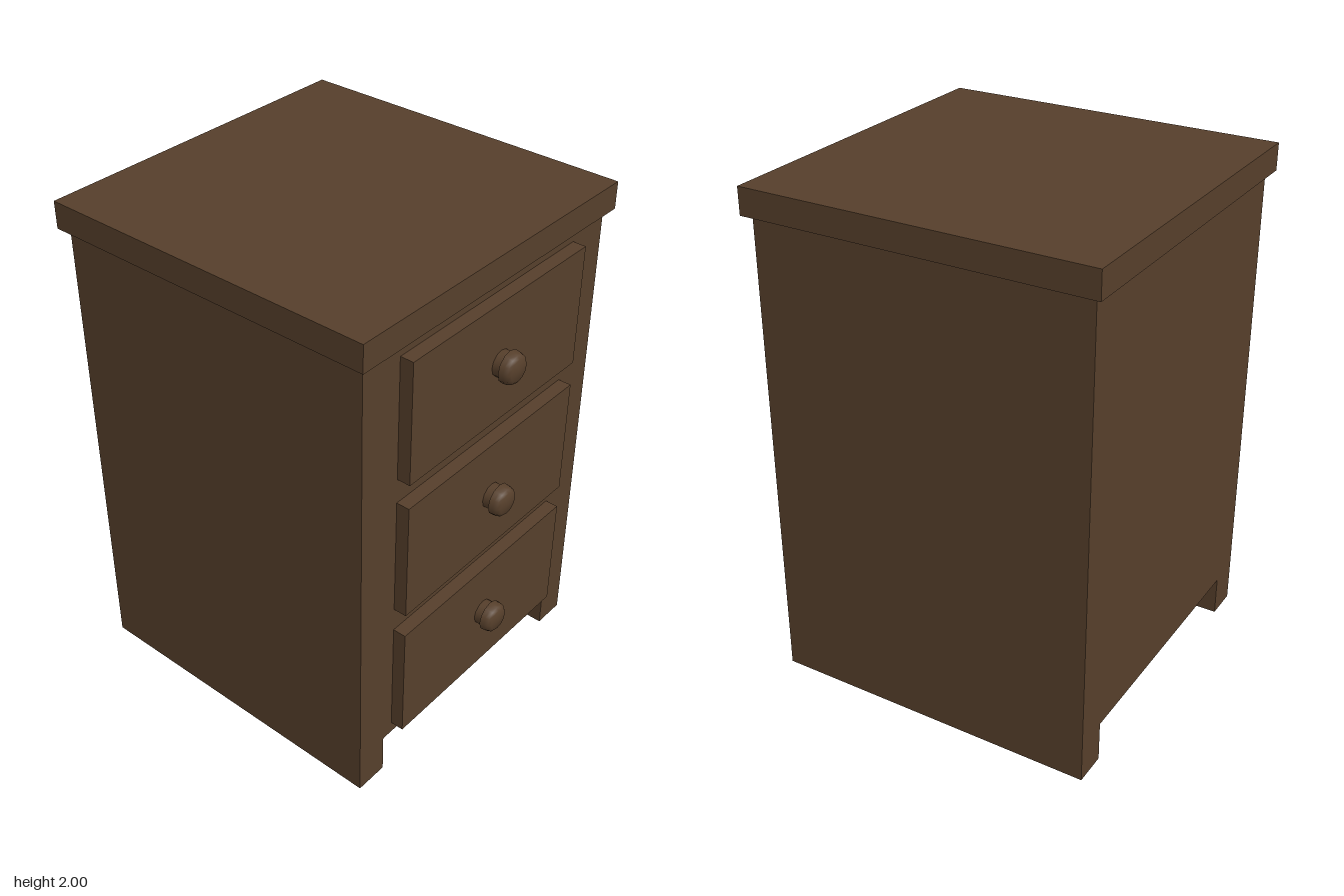
import * as THREE from 'three';
import { toCreasedNormals } from 'three/addons/utils/BufferGeometryUtils.js';

export function createModel() {
  const model = new THREE.Group();
  model.name = 'bedsideCabinet';
  const wood = new THREE.MeshStandardMaterial({ color: 0x563f2b });
  wood.name = 'dark wood';

  const add = (name, geometry, x, y, z, parent = model) => {
    const mesh = new THREE.Mesh(geometry, wood);
    mesh.name = name;
    mesh.position.set(x, y, z);
    parent.add(mesh);
    return mesh;
  };

  // Carcass: one front outline with the foot recess, run through the full depth
  const w = 0.654, foot = 0.521, recess = 0.162, top = 1.895;
  const outline = new THREE.Shape([
    [-w, 0], [-foot, 0], [-foot, recess], [foot, recess],
    [foot, 0], [w, 0], [w, top], [-w, top],
  ].map(([x, y]) => new THREE.Vector2(x, y)));
  const zBack = -0.706, zFront = 0.609;
  add('carcass', new THREE.ExtrudeGeometry(outline, { depth: zFront - zBack, bevelEnabled: false }), 0, 0, zBack);

  // Overhanging top board
  add('topBoard', new THREE.BoxGeometry(1.37, 0.105, 1.373), 0, 1.9475, -0.049);

  // Knob: neck, flared rim and rounded face, turned about its axis
  const knobProfile = [
    [0.05, 0], [0.05, 0.032], [0.062, 0.034], [0.06, 0.052],
    [0.055, 0.066], [0.044, 0.075], [0, 0.078],
  ].map(([r, h]) => new THREE.Vector2(r, h));
  const knob = toCreasedNormals(new THREE.LatheGeometry(knobProfile, 12), 0.8);
  knob.rotateX(Math.PI / 2);

  // Three drawers, each with a raised front and a knob
  const front = new THREE.BoxGeometry(0.948, 0.479, 0.054);
  ['bottom', 'middle', 'top'].forEach((level, i) => {
    const drawer = new THREE.Group();
    drawer.name = level + 'Drawer';
    drawer.position.set(0, 0.449 + i * 0.577, zFront);
    add('drawerFront', front, -0.001, 0, 0.025, drawer);
    add('knob', knob, 0, 0.021 - i * 0.011, 0.051, drawer);
    model.add(drawer);
  });

  return model;
}
